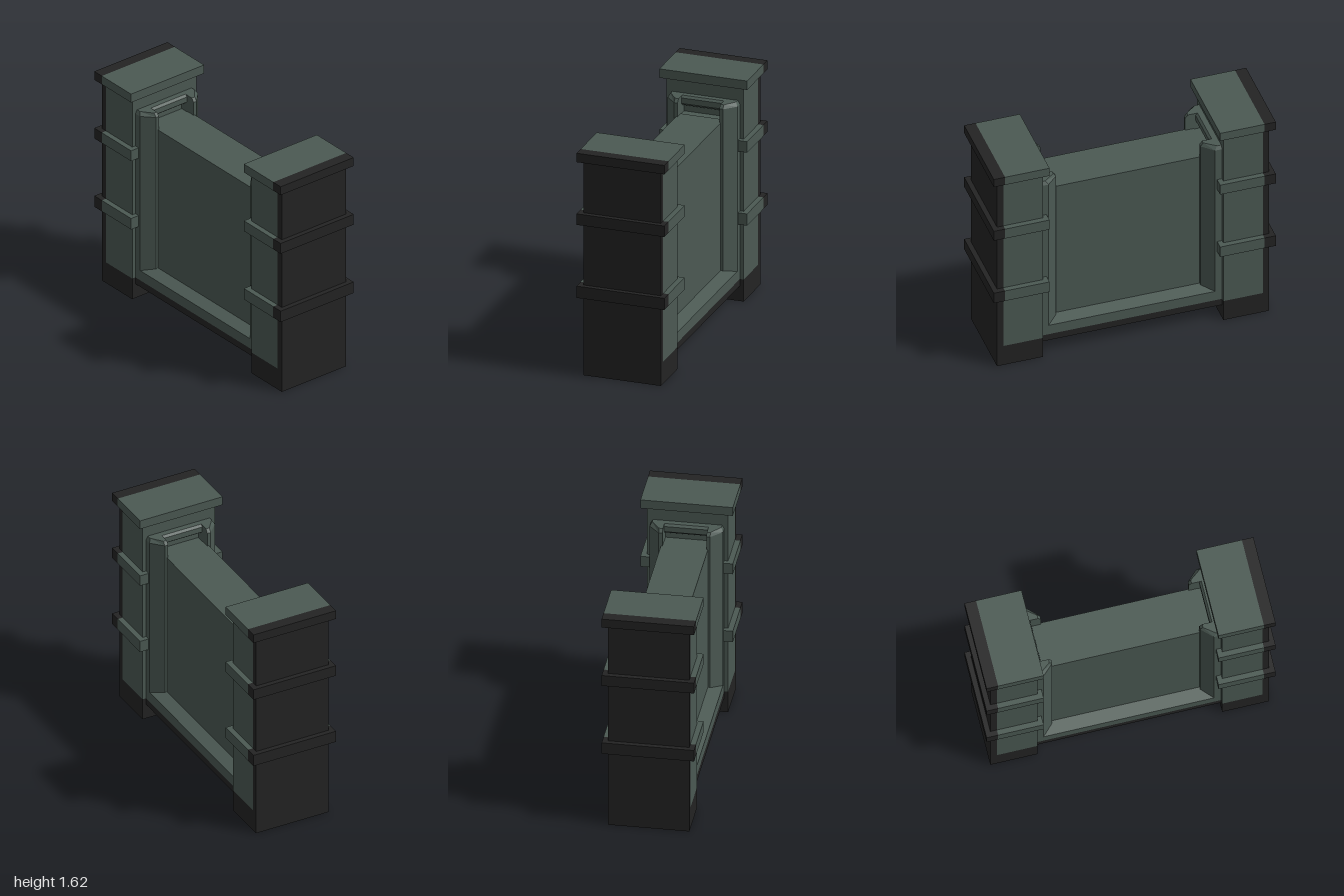
import * as THREE from 'three';

const green = new THREE.MeshStandardMaterial({ color: 0x4b5953 });
green.name = 'grey green';
const dark = new THREE.MeshStandardMaterial({ color: 0x232323 });
dark.name = 'charcoal';

// Box given by its minimum and maximum on each axis
function box(name, material, [x0, x1], [y0, y1], [z0, z1]) {
  const mesh = new THREE.Mesh(new THREE.BoxGeometry(x1 - x0, y1 - y0, z1 - z0), material);
  mesh.position.set((x0 + x1) / 2, (y0 + y1) / 2, (z0 + z1) / 2);
  mesh.name = name;
  return mesh;
}

function extrude(points, depth, steps = 1) {
  const shape = new THREE.Shape(points.map(([x, y]) => new THREE.Vector2(x, y)));
  return new THREE.ExtrudeGeometry(shape, { depth, steps, bevelEnabled: false });
}

function named(name, geometry, material) {
  const mesh = new THREE.Mesh(geometry, material);
  mesh.name = name;
  return mesh;
}

// Beveled upright beside the panel, with a chamfered top
function pilaster(side) {
  const plan = [[0.25, 0.64], [0.25, 0.59], [0.175, 0.512], [0.15, 0.512], [0.15, 0.64]];
  const bottom = 0.16, shoulder = 1.43, top = 1.455;
  const geo = extrude(plan.map(([x, z]) => [x * side, -z]), 2, 2);
  geo.rotateX(-Math.PI / 2);
  const p = geo.attributes.position;
  for (let i = 0; i < p.count; i++) {
    const level = Math.round(p.getY(i));
    p.setY(i, [bottom, shoulder, top][level]);
    if (level === 2) {
      if (p.getZ(i) < 0.6) p.setZ(i, p.getZ(i) + 0.02);
      if (Math.abs(p.getX(i)) > 0.2) p.setX(i, p.getX(i) - side * 0.015);
    }
  }
  geo.computeVertexNormals();
  return named('pilaster', geo, green);
}

// One end: post, bands, cap and the moulding on its inner face
function endPost(name) {
  const g = new THREE.Group();
  g.name = name;
  const w = [-0.277, 0.277], bw = [-0.315, 0.315], split = 0.92;
  g.add(box('post', green, w, [0.16, 1.6], [0.64, split]));
  g.add(box('postFoot', dark, w, [0, 0.16], [0.64, split]));
  g.add(box('postOuterFace', dark, w, [0, 1.6], [split, 0.965]));
  for (const [part, y] of [['lowerBand', [0.57, 0.655]], ['upperBand', [1.1, 1.18]], ['cap', [1.555, 1.62]]]) {
    g.add(box(part, green, bw, y, [0.605, split]));
    g.add(box(part + 'Outer', dark, bw, y, [split, 1]));
  }
  for (const side of [-1, 1]) {
    g.add(pilaster(side));
    const x = side > 0 ? [0.15, 0.25] : [-0.25, -0.15];
    g.add(box('pilasterBase', dark, x, [0.11, 0.16], [0.59, 0.64]));
  }
  // Moulding across the top between the pilasters
  const lintel = extrude([[-0.64, 1.455], [-0.6, 1.455], [-0.585, 1.44], [-0.585, 1.4], [-0.61, 1.38], [-0.64, 1.38]], 0.4);
  lintel.rotateY(Math.PI / 2);
  lintel.translate(-0.2, 0, 0);
  g.add(named('topMoulding', lintel, green));
  return g;
}

// One long side: sloped sill with a dark underside
function sideRail(name) {
  const g = new THREE.Group();
  g.name = name;
  const sill = extrude([[0.155, 0.16], [0.25, 0.16], [0.25, 0.235], [0.155, 0.261]], 1.28);
  sill.translate(0, 0, -0.64);
  g.add(named('sill', sill, green));
  g.add(box('sillBase', dark, [0.155, 0.25], [0.11, 0.16], [-0.59, 0.59]));
  return g;
}

export function createModel() {
  const model = new THREE.Group();
  model.name = 'panelBetweenPosts';

  const back = endPost('backPost');
  back.rotation.y = Math.PI;
  const right = sideRail('rightRail');
  right.rotation.y = Math.PI;
  model.add(endPost('frontPost'), back, sideRail('leftRail'), right);

  // Central slab with a dark underside
  model.add(box('panel', green, [-0.16, 0.16], [0.2, 1.33], [-0.575, 0.575]));
  model.add(box('panelUnderside', dark, [-0.155, 0.155], [0.192, 0.2], [-0.64, 0.64]));
  // Flat backing that joins the slab to the posts
  for (const z of [[-0.64, -0.575], [0.575, 0.64]]) {
    model.add(box('panelEnd', green, [-0.155, 0.155], [0.2, 1.325], z));
  }
  return model;
}
